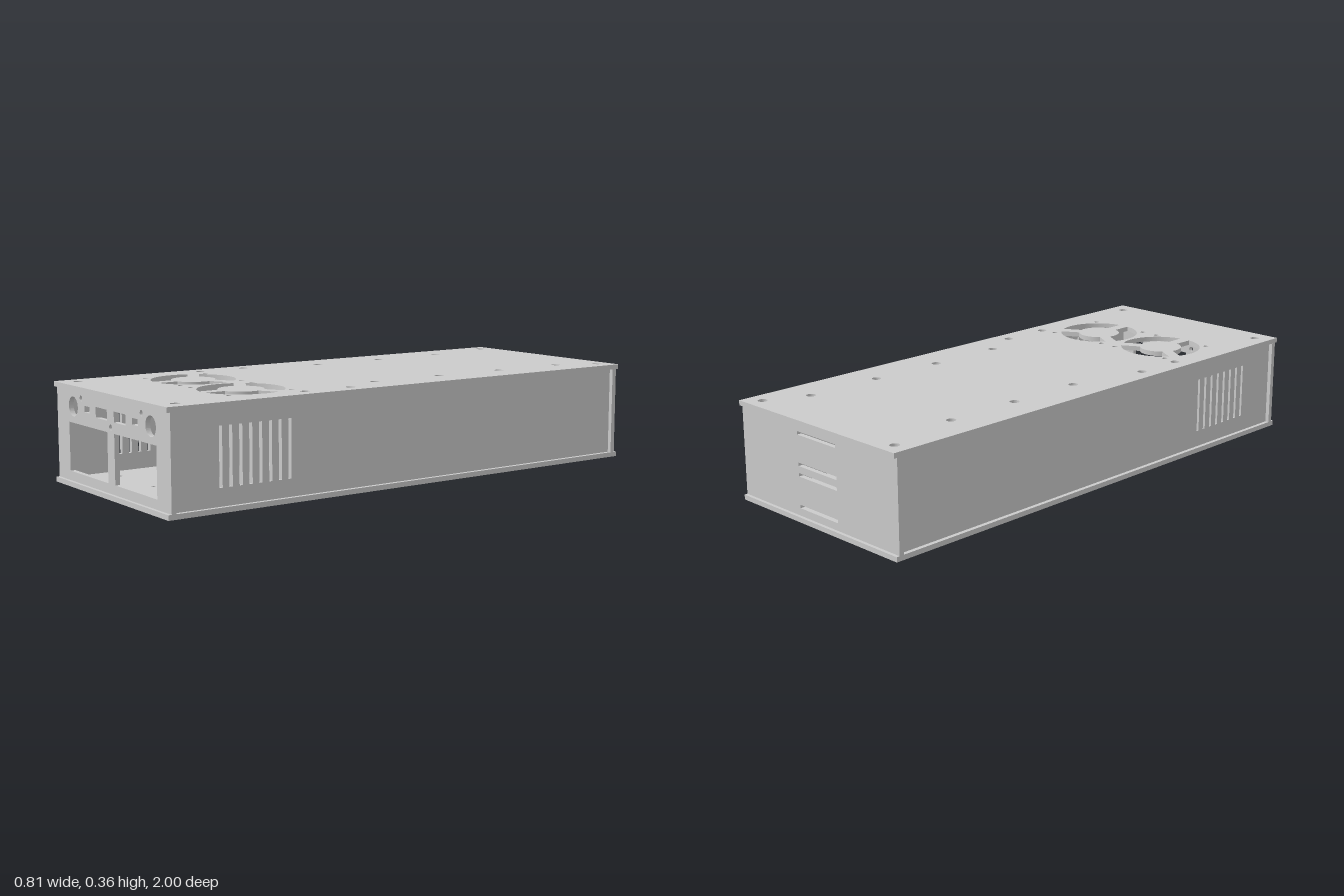
import * as THREE from 'three';

const T = 0.018;          // sheet thickness
const W = 0.81, H = 0.362, L = 2;
const material = new THREE.MeshStandardMaterial({ color: 0xcccccc });

// Outline helpers
function rect(x0, y0, x1, y1, Kind = THREE.Path) {
  const p = new Kind();
  p.moveTo(x0, y0);
  p.lineTo(x1, y0);
  p.lineTo(x1, y1);
  p.lineTo(x0, y1);
  p.closePath();
  return p;
}

function circle(x, y, r) {
  return new THREE.Path().absarc(x, y, r, 0, Math.PI * 2, true);
}

// Arc-shaped air opening between two parallel-sided spokes
function fanOpening(cx, cy, mid) {
  const inner = 0.08, outer = 0.152, half = 0.021;
  const a = Math.PI / 3 - Math.asin(half / outer);
  const b = Math.PI / 3 - Math.asin(half / inner);
  const p = new THREE.Path();
  p.absarc(cx, cy, outer, mid - a, mid + a, false);
  p.absarc(cx, cy, inner, mid + b, mid - b, true);
  p.closePath();
  return p;
}

function sheet(name, outline, holes) {
  outline.holes.push(...holes);
  const geometry = new THREE.ExtrudeGeometry(outline, { depth: T, bevelEnabled: false, curveSegments: 20 });
  const mesh = new THREE.Mesh(geometry, material);
  mesh.name = name;
  return mesh;
}

// Bolt holes shared by the top and bottom plates (plate y runs to the back)
function boltHoles() {
  const holes = [];
  for (const z of [-0.945, 0.245, 0.435, 0.935])
    for (const s of [-1, 1]) holes.push(circle(s * 0.345, -z, 0.017));
  for (const z of [-0.645, -0.35, -0.055]) holes.push(circle(-0.28, -z, 0.017));
  for (const z of [-0.79, -0.495, -0.205, 0.09]) holes.push(circle(0.277, -z, 0.017));
  return holes;
}

function horizontalPlate(name, y, extraHoles) {
  const outline = rect(-W / 2, -L / 2, W / 2, L / 2, THREE.Shape);
  const mesh = sheet(name, outline, [...boltHoles(), ...extraHoles]);
  mesh.rotation.x = -Math.PI / 2;
  mesh.position.y = y;
  return mesh;
}

function uprightPanel(name, halfWidth, z, holes) {
  const mesh = sheet(name, rect(-halfWidth, T, halfWidth, H - T, THREE.Shape), holes);
  mesh.position.z = z;
  return mesh;
}

const cableSlots = () => [0.051, 0.164, 0.201, 0.311].map(y => rect(-0.1, y - 0.006, 0.1, y + 0.006));

export function createModel() {
  const model = new THREE.Group();
  model.name = 'enclosure';

  // Top plate with two fan grilles and their screw holes
  const grille = [];
  for (const cx of [-0.16, 0.16]) {
    for (let i = 0; i < 3; i++) grille.push(fanOpening(cx, -0.573, Math.PI / 2 + i * Math.PI * 2 / 3));
    for (const dx of [-0.125, 0.125])
      for (const dy of [-0.125, 0.125]) grille.push(circle(cx + dx, -0.573 + dy, 0.01));
  }
  model.add(horizontalPlate('topPlate', H - T, grille));

  // Bottom plate with small mounting holes
  const mounts = [];
  for (const x of [-0.28, -0.035, 0.045, 0.28])
    for (const z of [0.475, 0.81]) mounts.push(circle(x, -z, 0.008));
  model.add(horizontalPlate('bottomPlate', 0, mounts));

  // Front panel: two windows, connector cutouts, round holes
  const front = [circle(0, 0.246, 0.01)];
  for (const s of [-1, 1]) {
    front.push(
      rect(s * 0.025, 0.052, s * 0.313, 0.227),
      rect(s * 0.025, 0.266, s * 0.107, 0.303),
      rect(s * 0.153, 0.275, s * 0.192, 0.297),
      circle(s * 0.278, 0.285, 0.035),
      circle(s * 0.217, 0.32, 0.01)
    );
  }
  model.add(uprightPanel('frontPanel', W / 2, 0.97, front));

  // Back panel and inner divider share the cable slots
  model.add(uprightPanel('backPanel', W / 2, -0.97 - T, cableSlots()));
  model.add(uprightPanel('innerDivider', 0.372, 0.331, [
    ...cableSlots(),
    circle(0.218, 0.132, 0.01),
    circle(0.218, 0.232, 0.01),
    circle(-0.303, 0.087, 0.01),
    circle(0.293, 0.182, 0.026)
  ]));

  // Side panels with vent slots, set in from the plate edges
  for (const [name, x] of [['leftPanel', 0.372], ['rightPanel', -0.39]]) {
    const vents = [];
    for (let i = 0; i < 8; i++) {
      const u = -0.796 + i * 0.0383;
      vents.push(rect(u - 0.006, 0.08, u + 0.006, 0.284));
    }
    const panel = sheet(name, rect(-0.97, T, 0.97, H - T, THREE.Shape), vents);
    panel.rotation.y = Math.PI / 2;
    panel.position.x = x;
    model.add(panel);
  }

  return model;
}
